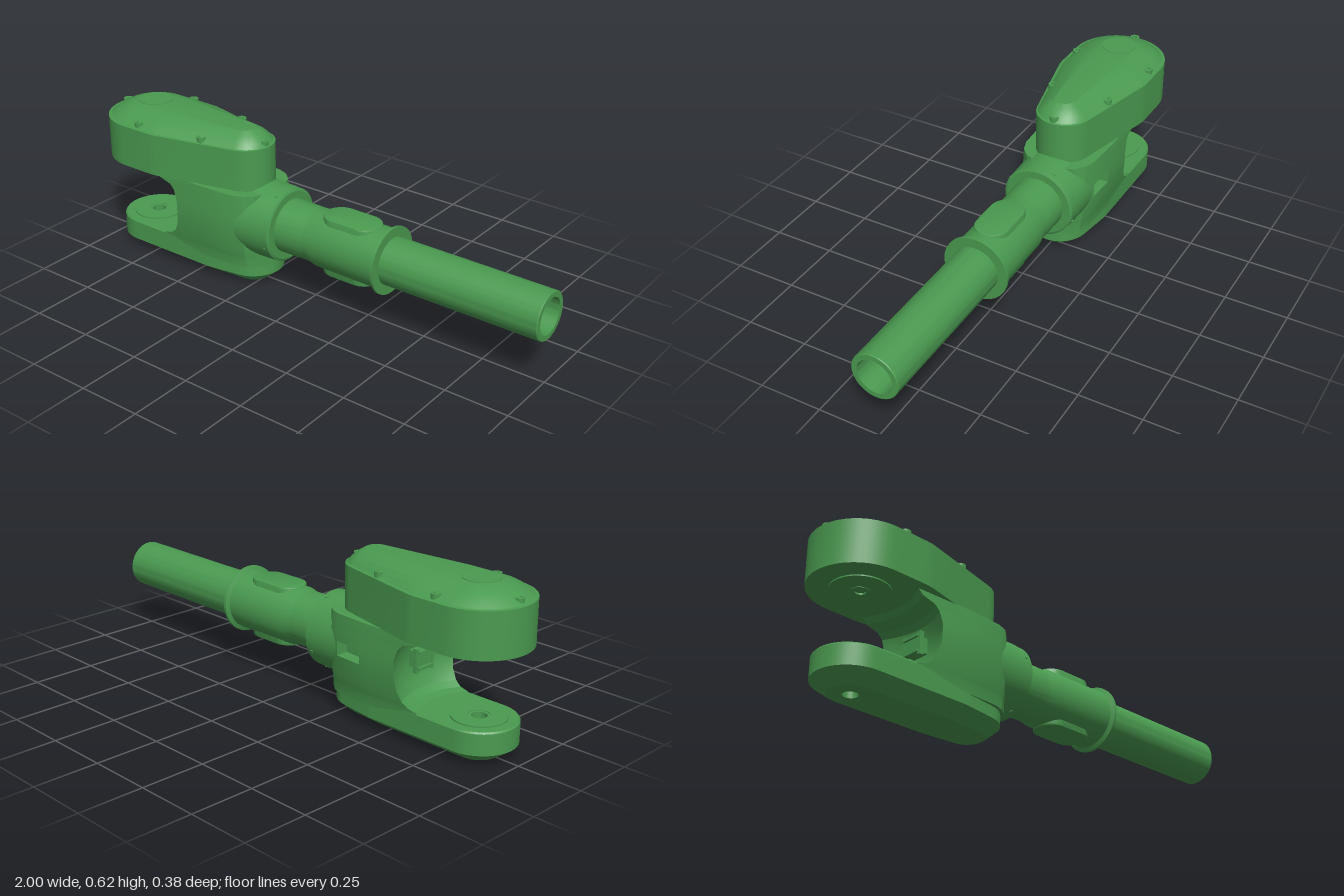
import * as THREE from 'three';
import { toCreasedNormals } from 'three/addons/utils/BufferGeometryUtils.js';

const green = new THREE.MeshStandardMaterial({ color: 0x4a9a50, side: THREE.DoubleSide });
const AXIS_Y = 0.27;

function add(parent, name, geometry, x = 0, y = 0, z = 0) {
  const mesh = new THREE.Mesh(geometry, green);
  mesh.name = name;
  mesh.position.set(x, y, z);
  parent.add(mesh);
  return mesh;
}

// Skin a stack of [y, outline] layers; outlines are (x, z) points. Optional hole in both caps.
function loft(layers, hole = []) {
  const pos = [], idx = [], n = layers[0][1].length;
  const push = (y, pts) => {
    const start = pos.length / 3;
    pts.forEach(p => pos.push(p.x, y, p.y));
    return start;
  };
  layers.forEach(([y, pts]) => push(y, pts));
  for (let i = 0; i < layers.length - 1; i++) {
    for (let j = 0; j < n; j++) {
      const a = i * n + j, b = i * n + (j + 1) % n;
      idx.push(a, a + n, b, b, a + n, b + n);
    }
  }
  [layers[0], layers[layers.length - 1]].forEach(([y, pts], top) => {
    const start = push(y, [...pts, ...hole]);
    const tris = THREE.ShapeUtils.triangulateShape(pts.slice(), hole.length ? [hole.slice()] : []);
    tris.forEach(([a, b, c]) => (top ? idx.push(start + a, start + c, start + b)
      : idx.push(start + a, start + b, start + c)));
  });
  const g = new THREE.BufferGeometry();
  g.setAttribute('position', new THREE.Float32BufferAttribute(pos, 3));
  g.setIndex(idx);
  return toCreasedNormals(g, 0.35);
}

const circle = (cx, r, from, to, steps) => Array.from({ length: steps + 1 }, (_, i) => {
  const a = from + (to - from) * i / steps;
  return new THREE.Vector2(cx + r * Math.cos(a), r * Math.sin(a));
});

// Teardrop outline: big round end at -x, parallel sides, then a taper to a smaller round end
function teardrop(x0, xm, r0, x1, r1, inset) {
  const k = 1 - inset / r0;
  const R = r0 * k, r = r1 * k;
  const t = Math.PI / 2 - Math.asin((R - r) / (x1 - xm));
  return [
    ...circle(x1, r, -t, t, 20),
    ...circle(xm, R, t, Math.PI / 2, 3),
    ...circle(x0, R, Math.PI / 2, Math.PI * 1.5, 32),
    ...circle(xm, R, -Math.PI / 2, -t, 3),
  ];
}

// Turned part along x from [x, radius] pairs
function turned(profile) {
  const g = new THREE.LatheGeometry(profile.map(([x, r]) => new THREE.Vector2(r, x)), 64);
  g.rotateZ(-Math.PI / 2);
  return toCreasedNormals(g, 0.4);
}

// Raised ring with an open bore, lying flat
function ring(inner, outer, h) {
  const p = [[inner, 0], [outer, 0], [outer, h], [inner, h], [inner, 0]];
  return toCreasedNormals(new THREE.LatheGeometry(p.map(q => new THREE.Vector2(...q)), 48), 0.5);
}

// Bridge outline at one height: scooped throat at -x, rounded back, side pocket at -z
function bridgeOutline(hw, throat, pocket) {
  const side = [[-0.2, 0.4], [-0.215, 0.65], [-0.25, 0.85], [-0.295, 0.95]];
  const pts = [new THREE.Vector2(-0.192, 0)];
  side.forEach(([x, k]) => pts.push(new THREE.Vector2(x, hw * k)));
  pts.push(new THREE.Vector2(-0.45, hw));
  for (let j = 6; j >= -6; j--) {
    const k = j / 6;
    pts.push(new THREE.Vector2(throat - 0.04 * k * k, hw * 0.97 * k));
  }
  pts.push(new THREE.Vector2(-0.45, -hw), new THREE.Vector2(-0.41, -hw * 0.99));
  pts.push(new THREE.Vector2(-0.41, -hw * 0.99 + pocket), new THREE.Vector2(-0.295, -hw * 0.95 + pocket));
  side.reverse().forEach(([x, k]) => pts.push(new THREE.Vector2(x, -hw * k)));
  return pts;
}

export function createModel() {
  const model = new THREE.Group();
  model.name = 'forkedArmJoint';

  // Upper housing with domed cover
  const upper = new THREE.Group();
  upper.name = 'upperHousing';
  model.add(upper);
  const cover = [[0.40, 0], [0.57, 0], [0.572, 0.012], [0.589, 0.035], [0.603, 0.06], [0.615, 0.09], [0.625, 0.12]];
  add(upper, 'housingShell', loft(cover.map(([y, d]) => [y, teardrop(-0.81, -0.68, 0.19, -0.337, 0.112, d)])));
  add(upper, 'topDisc', new THREE.CylinderGeometry(0.068, 0.068, 0.004, 48), -0.81, 0.625, 0);
  add(upper, 'undersideRing', ring(0.035, 0.11, 0.006), -0.81, 0.395, 0);
  add(upper, 'undersideBushing', ring(0.02, 0.035, 0.01), -0.81, 0.393, 0);
  const screws = [[-0.965, 0], [-0.25, 0]];
  for (const s of [-1, 1]) screws.push([-0.75, s * 0.158], [-0.46, s * 0.118]);
  for (const [x, z] of screws) {
    add(upper, 'coverScrew', ring(0.009, 0.019, 0.024), x, 0.568, z);
    add(upper, 'coverScrewCore', new THREE.CylinderGeometry(0.01, 0.01, 0.016, 16), x, 0.578, z);
  }

  // Lower fork arm with bearing bore
  const lower = new THREE.Group();
  lower.name = 'lowerArm';
  model.add(lower);
  const base = [[0.002, 0.06], [0.012, 0.045], [0.045, 0], [0.124, 0], [0.13, 0.005]];
  const bore = circle(-0.825, 0.028, 0, Math.PI * 2, 32).slice(0, -1);
  add(lower, 'armShell', loft(base.map(([y, d]) => [y, teardrop(-0.825, -0.45, 0.14, -0.31, 0.12, d)]), bore));
  add(lower, 'armBore', new THREE.CylinderGeometry(0.028, 0.028, 0.128, 32, 1, true), -0.825, 0.066, 0);
  add(lower, 'bearingRing', ring(0.04, 0.1, 0.006), -0.825, 0.129, 0);
  add(lower, 'bearingLip', ring(0.028, 0.042, 0.004), -0.825, 0.129, 0);

  // Bridge joining both arms: [y, half width, throat x, pocket depth]
  const bridge = [
    [0.09, 0.14, -0.63, 0], [0.13, 0.144, -0.62, 0], [0.137, 0.146, -0.585, 0], [0.155, 0.15, -0.56, 0],
    [0.19, 0.156, -0.54, 0], [0.245, 0.163, -0.53, 0], [0.245, 0.163, -0.53, 0.05], [0.3, 0.164, -0.53, 0.05],
    [0.3, 0.164, -0.53, 0], [0.345, 0.161, -0.545, 0], [0.365, 0.16, -0.565, 0], [0.38, 0.159, -0.62, 0],
    [0.402, 0.157, -0.64, 0],
  ];
  add(model, 'bridge', loft(bridge.map(([y, hw, t, p]) => [y, bridgeOutline(hw, t, p)])));

  // Connector in the fork throat
  const plug = new THREE.Group();
  plug.name = 'throatConnector';
  plug.position.set(-0.55, AXIS_Y, 0);
  model.add(plug);
  add(plug, 'connectorBody', new THREE.BoxGeometry(0.05, 0.06, 0.07));
  for (const s of [-1, 1]) {
    add(plug, 'connectorClip', new THREE.BoxGeometry(0.018, 0.09, 0.014), -0.018, 0, s * 0.04);
    add(plug, 'connectorTab', new THREE.BoxGeometry(0.02, 0.012, 0.08), -0.024, s * 0.03, 0);
  }

  // Collar with radial screws
  add(model, 'collar', turned([[-0.285, 0], [-0.285, 0.152], [-0.175, 0.149], [-0.125, 0.147], [-0.12, 0.137], [-0.12, 0]]),
    0, AXIS_Y, 0);
  for (let i = 0; i < 8; i++) {
    const a = (i + 0.5) * Math.PI / 4;
    const screw = add(model, 'collarScrew', new THREE.CylinderGeometry(0.008, 0.008, 0.006, 12),
      -0.146, AXIS_Y + 0.147 * Math.cos(a), 0.147 * Math.sin(a));
    screw.rotation.x = a;
  }

  // Sleeve with end flange
  add(model, 'sleeve', turned([
    [-0.13, 0], [-0.13, 0.108], [0, 0.106], [0.02, 0.106], [0.055, 0.114], [0.335, 0.116],
    [0.342, 0.132], [0.352, 0.132], [0.352, 0],
  ]), 0, AXIS_Y, 0);

  // Flat grip pads above and below the sleeve
  const pad = new THREE.Shape();
  pad.absarc(0.12, 0, 0.062, Math.PI / 2, Math.PI * 1.5);
  pad.absarc(0.225, 0, 0.062, -Math.PI / 2, Math.PI / 2);
  const padGeo = new THREE.ExtrudeGeometry(pad, {
    depth: 0.224, bevelThickness: 0.006, bevelSize: 0.006, bevelSegments: 2, curveSegments: 20,
  });
  padGeo.translate(0, 0, -0.112);
  padGeo.rotateX(Math.PI / 2);
  add(model, 'gripPads', toCreasedNormals(padGeo, 0.4), 0, AXIS_Y, 0);

  // Hollow tube
  add(model, 'tube', turned([
    [0.34, 0], [0.34, 0.093], [0.997, 0.093], [1, 0.09], [1, 0.07], [0.42, 0.07], [0.42, 0.014], [0.4, 0.014], [0.4, 0],
  ]), 0, AXIS_Y, 0);

  return model;
}
